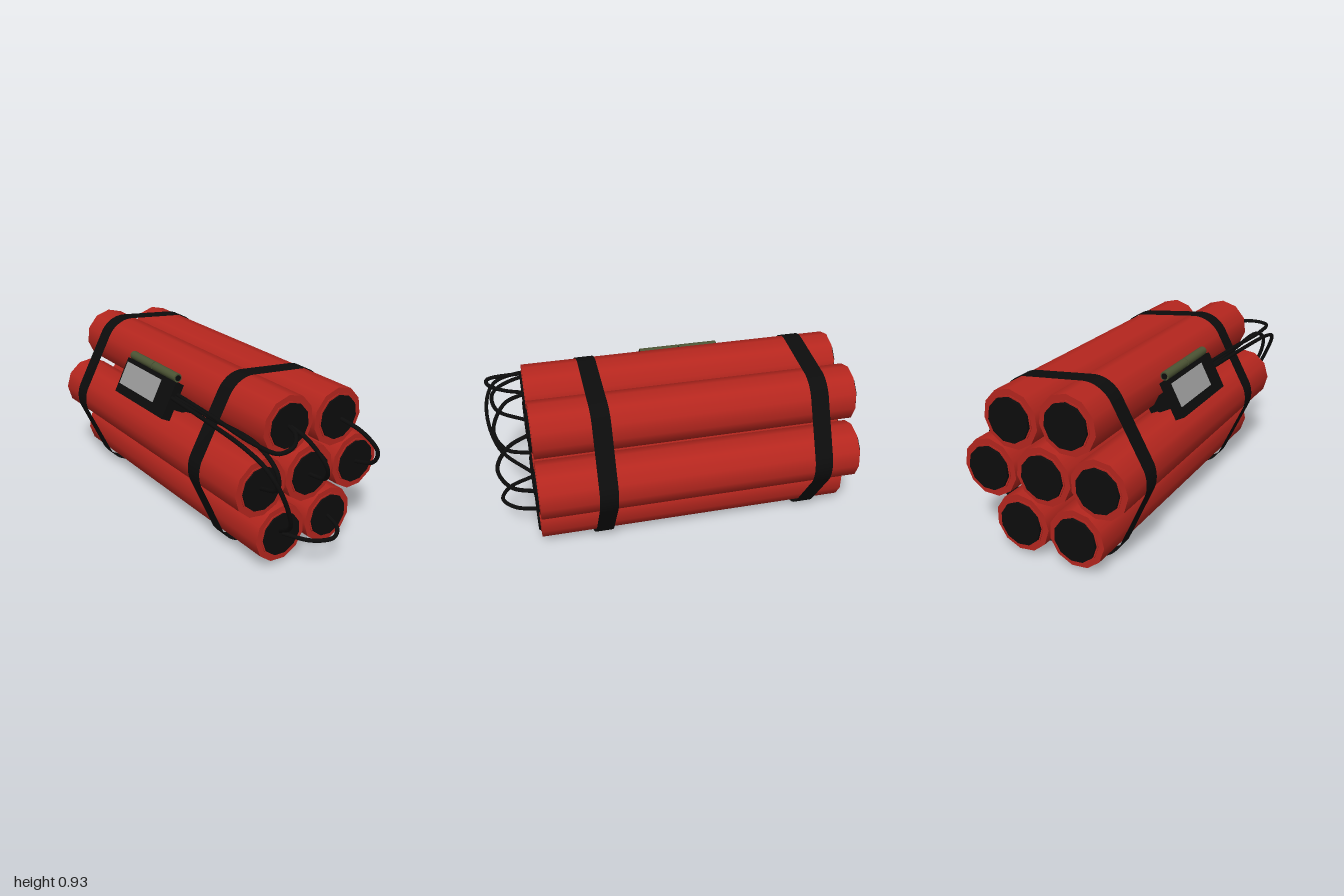
import * as THREE from 'three';

const mat = (color, side = THREE.FrontSide) =>
  new THREE.MeshStandardMaterial({ color, side });
const red = mat(0xb5261e);
const black = mat(0x0c0c0c);
const strapBlack = mat(0x0c0c0c, THREE.DoubleSide);
const green = mat(0x4c5434);
const grey = mat(0x9a9a9a);

// Stick centres (x, y) and roll about the stick's own axis
const STICKS = [
  [-0.153, 0.77, 0], [0.168, 0.733, 0.02],
  [-0.315, 0.48, -0.16], [-0.005, 0.47, -0.03], [0.31, 0.446, 0.03],
  [-0.182, 0.18, -0.1], [0.135, 0.18, -0.13],
];
const FRONT = 0.765, BACK = -0.98;

function add(parent, name, geometry, material, x = 0, y = 0, z = 0) {
  const mesh = new THREE.Mesh(geometry, material);
  mesh.name = name;
  mesh.position.set(x, y, z);
  parent.add(mesh);
  return mesh;
}

// Cylinder lying along z with one corner pointing up
const rod = (r, length, sides) =>
  new THREE.CylinderGeometry(r, r, length, sides).rotateX(Math.PI / 2).rotateZ(Math.PI);

function makeStick([x, y, roll]) {
  const stick = new THREE.Group();
  stick.name = 'stick';
  stick.position.set(x, y, 0);
  stick.rotation.z = roll;
  const mid = (FRONT + BACK) / 2, length = FRONT - BACK;
  add(stick, 'tube', rod(0.156, length, 11), red, 0, 0, mid);
  add(stick, 'innerRim', rod(0.125, length + 0.008, 11), red, 0, 0, mid);
  add(stick, 'frontPlug', rod(0.117, 0.05, 11), black, 0, 0, FRONT - 0.012);
  add(stick, 'backPlug', rod(0.117, 0.05, 11), black, 0, 0, BACK + 0.006);
  return stick;
}

// Thin band stretched round the whole bundle; skew bends its z slightly
function strapGeometry(z, width, skew) {
  const n = 72, pos = [], index = [];
  for (let i = 0; i <= n; i++) {
    const a = (i / n) * Math.PI * 2, c = Math.cos(a), s = Math.sin(a);
    const far = STICKS.reduce((p, q) => (q[0] * c + q[1] * s > p[0] * c + p[1] * s ? q : p));
    const x = far[0] + 0.163 * c, y = far[1] - 0.008 + 0.17 * s;
    const dz = -skew * (c + 0.5 * s);
    pos.push(x, y, z + dz - width / 2, x, y, z + dz + width / 2);
    if (i < n) {
      const k = i * 2;
      index.push(k, k + 2, k + 1, k + 1, k + 2, k + 3);
    }
  }
  const g = new THREE.BufferGeometry();
  g.setAttribute('position', new THREE.Float32BufferAttribute(pos, 3));
  g.setIndex(index);
  g.computeVertexNormals();
  return g;
}

function wireGeometry(points) {
  const curve = new THREE.CatmullRomCurve3(points.map((p) => new THREE.Vector3(...p)));
  return new THREE.TubeGeometry(curve, 48, 0.011, 8);
}

// Slanted timer box with display, bracket and two batteries
function makeTimer() {
  const timer = new THREE.Group();
  timer.name = 'timer';
  const body = new THREE.Group();
  body.name = 'timerBody';
  body.position.set(-0.384, 0.722, -0.14);
  body.rotation.z = -0.486;
  add(body, 'timerCase', new THREE.BoxGeometry(0.055, 0.204, 0.49), black);
  add(body, 'timerBracket', new THREE.BoxGeometry(0.15, 0.085, 0.44), black, 0.09, 0, 0);
  add(body, 'display', new THREE.BoxGeometry(0.006, 0.13, 0.35), grey, -0.0285, 0.015, -0.055);
  timer.add(body);
  for (const z of [-0.258, -0.03]) {
    add(timer, 'battery', rod(0.024, 0.222, 12), green, -0.333, 0.838, z);
    add(timer, 'batteryContact', rod(0.016, 0.23, 12), black, -0.333, 0.838, z);
  }
  return timer;
}

export function createModel() {
  const model = new THREE.Group();
  model.name = 'stickBundle';

  STICKS.forEach((s) => model.add(makeStick(s)));

  add(model, 'frontStrap', strapGeometry(0.42, 0.1, 0.009), strapBlack);
  add(model, 'backStrap', strapGeometry(-0.77, 0.1, 0), strapBlack);

  model.add(makeTimer());

  const wires = {
    // Loops between neighbouring sticks
    topToMiddleWire: [[-0.15, 0.77, 0.76], [-0.13, 0.73, 0.88], [-0.07, 0.6, 0.955],
      [-0.025, 0.5, 0.9], [-0.01, 0.465, 0.76]],
    topToSideWire: [[0.18, 0.725, 0.76], [0.22, 0.68, 0.89], [0.27, 0.59, 0.955],
      [0.305, 0.49, 0.9], [0.31, 0.44, 0.76]],
    bottomWire: [[0.135, 0.18, 0.76], [0.09, 0.18, 0.89], [0, 0.18, 0.955],
      [-0.1, 0.18, 0.91], [-0.18, 0.18, 0.76]],
    // Leads from the timer, over the strap and round to the stick ends
    timerToBottomWire: [[-0.385, 0.745, 0.08], [-0.41, 0.745, 0.45], [-0.435, 0.735, 0.8],
      [-0.425, 0.69, 0.93], [-0.37, 0.56, 0.985], [-0.27, 0.34, 0.94], [-0.185, 0.19, 0.76]],
    timerToSideWire: [[-0.365, 0.74, 0.08], [-0.37, 0.745, 0.45], [-0.37, 0.74, 0.8],
      [-0.367, 0.66, 0.94], [-0.35, 0.56, 0.93], [-0.32, 0.48, 0.76]],
    timerToTopWire: [[-0.35, 0.755, 0.08], [-0.37, 0.755, 0.45], [-0.395, 0.755, 0.8],
      [-0.37, 0.757, 0.955], [-0.29, 0.765, 0.955], [-0.2, 0.772, 0.87], [-0.155, 0.77, 0.76]],
  };
  for (const [name, points] of Object.entries(wires)) {
    add(model, name, wireGeometry(points), black);
  }
  return model;
}
